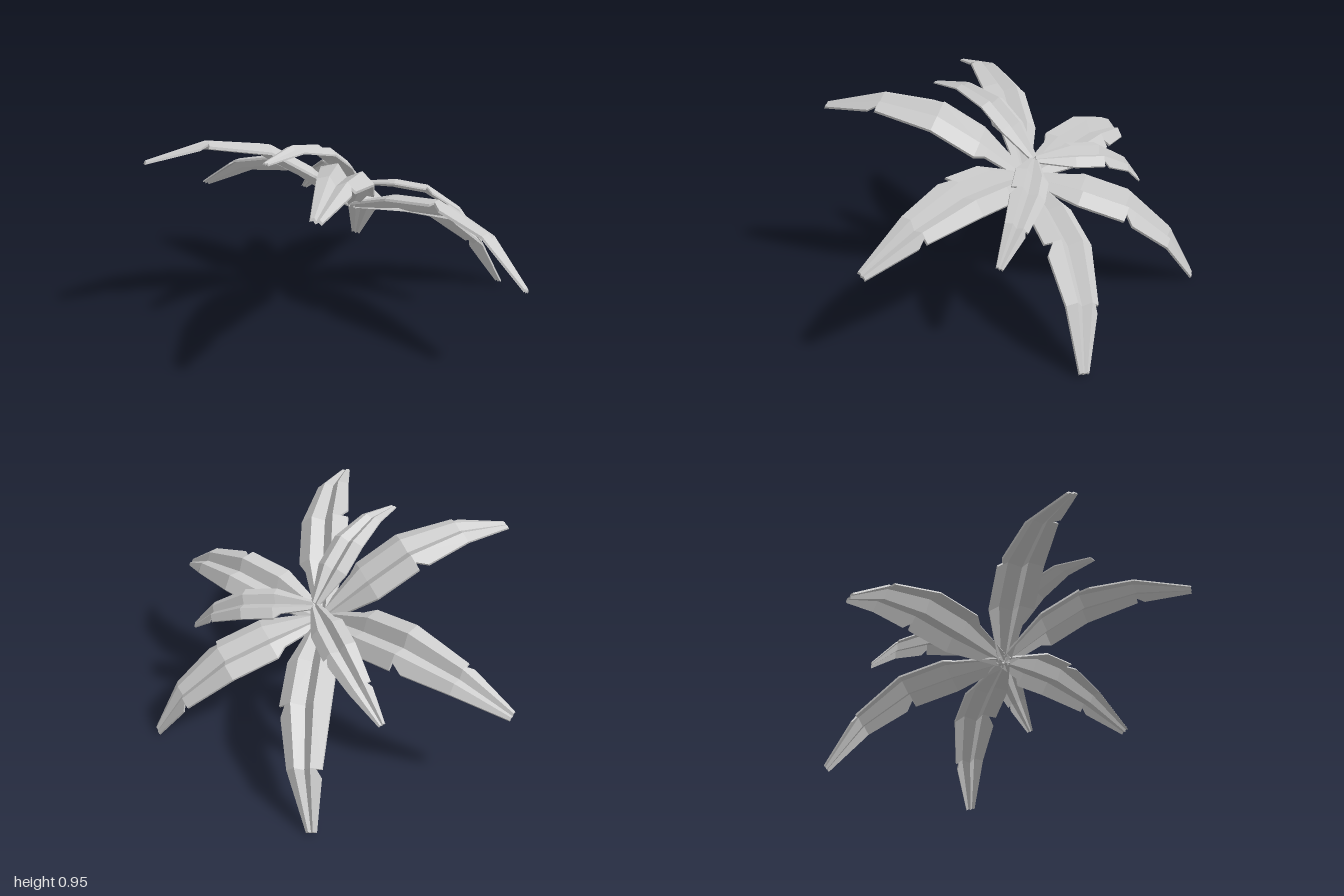
import * as THREE from 'three';

// Leaf profile: distance from the centre, ridge height, half width
const PROFILE = [
  [0.01, 0.13, 0.035],
  [0.27, 0.225, 0.122],
  [0.5, 0.257, 0.122],
  [0.77, 0.178, 0.082],
  [1.0, 0.005, 0.024],
];

// Stations along each blade half: distance, fraction of the blade kept (tears drop it sharply)
const TORN_TWICE = [[0.01, 1], [0.22, 0.65], [0.27, 1], [0.5, 1], [0.77, 1], [0.772, 0.5], [0.8, 1], [1, 1]];
const TORN_ONCE = [[0.01, 1], [0.27, 1], [0.5, 1], [0.502, 0.5], [0.55, 1], [0.77, 1], [1, 1]];
const WHOLE = PROFILE.map(([r]) => [r, 1]);
const THICKNESS = 0.012;

function sampleProfile(r) {
  let i = 0;
  while (i < PROFILE.length - 2 && r > PROFILE[i + 1][0]) i++;
  const [a, b] = [PROFILE[i], PROFILE[i + 1]];
  const t = (r - a[0]) / (b[0] - a[0]);
  return [a[1] + (b[1] - a[1]) * t, a[2] + (b[2] - a[2]) * t];
}

// Cross-section of one half: deep central groove, raised ridge, drooping edge, then the underside
function halfRing([r, keep], side) {
  const [h, w] = sampleProfile(r);
  const ridge = 0.45 * w;
  const top = [
    [0, h - 0.36 * w],
    [ridge, h],
    [ridge + (w - ridge) * keep, h - 0.3 * w * keep],
  ];
  const bottom = top.map(([z, y]) => [z, y - THICKNESS]).reverse();
  return [...top, ...bottom].map(([z, y]) => [r, y, z * side]);
}

function createLeafGeometry(rightStations, leftStations) {
  const positions = [];
  const addQuad = (a, b, c, d, side) => {
    const corners = side > 0 ? [a, b, c, a, c, d] : [a, c, b, a, d, c];
    corners.forEach((p) => positions.push(...p));
  };
  for (const [stations, side] of [[rightStations, -1], [leftStations, 1]]) {
    const rings = stations.map((s) => halfRing(s, side));
    for (let i = 0; i < rings.length - 1; i++) {
      for (let j = 0; j < 5; j++) {
        addQuad(rings[i][j], rings[i][j + 1], rings[i + 1][j + 1], rings[i + 1][j], side);
      }
    }
    // Closed tip and root
    for (const [ring, dir] of [[rings[rings.length - 1], side], [rings[0], -side]]) {
      addQuad(ring[0], ring[1], ring[4], ring[5], dir);
      addQuad(ring[1], ring[2], ring[3], ring[4], dir);
    }
  }
  const geometry = new THREE.BufferGeometry();
  geometry.setAttribute('position', new THREE.Float32BufferAttribute(positions, 3));
  geometry.computeVertexNormals();
  return geometry;
}

export function createModel() {
  const model = new THREE.Group();
  model.name = 'palmCrown';
  const material = new THREE.MeshStandardMaterial({ color: 0xcccccc, flatShading: true });
  const tornLeaf = createLeafGeometry(TORN_TWICE, TORN_ONCE);
  const wholeLeaf = createLeafGeometry(WHOLE, WHOLE);

  // The whole crown leans back, lifting its front
  const crown = new THREE.Group();
  crown.name = 'leaningCrown';
  crown.rotation.x = -Math.PI / 6;
  crown.position.y = 0.447;
  model.add(crown);

  const addLeaf = (name, geometry, degrees, scale, height) => {
    const leaf = new THREE.Mesh(geometry, material);
    leaf.name = name;
    leaf.rotation.y = THREE.MathUtils.degToRad(degrees);
    leaf.scale.setScalar(scale);
    leaf.position.y = height;
    crown.add(leaf);
  };

  // Six large leaves below, three small ones above
  for (let i = 0; i < 6; i++) addLeaf(`largeLeaf${i + 1}`, tornLeaf, i * 60, 1, 0);
  addLeaf('smallBackLeftLeaf', tornLeaf, 30, 0.67, 0.155);
  addLeaf('smallBackRightLeaf', tornLeaf, 150, 0.67, 0.155);
  addLeaf('smallFrontLeaf', wholeLeaf, 270, 0.67, 0.155);

  return model;
}
